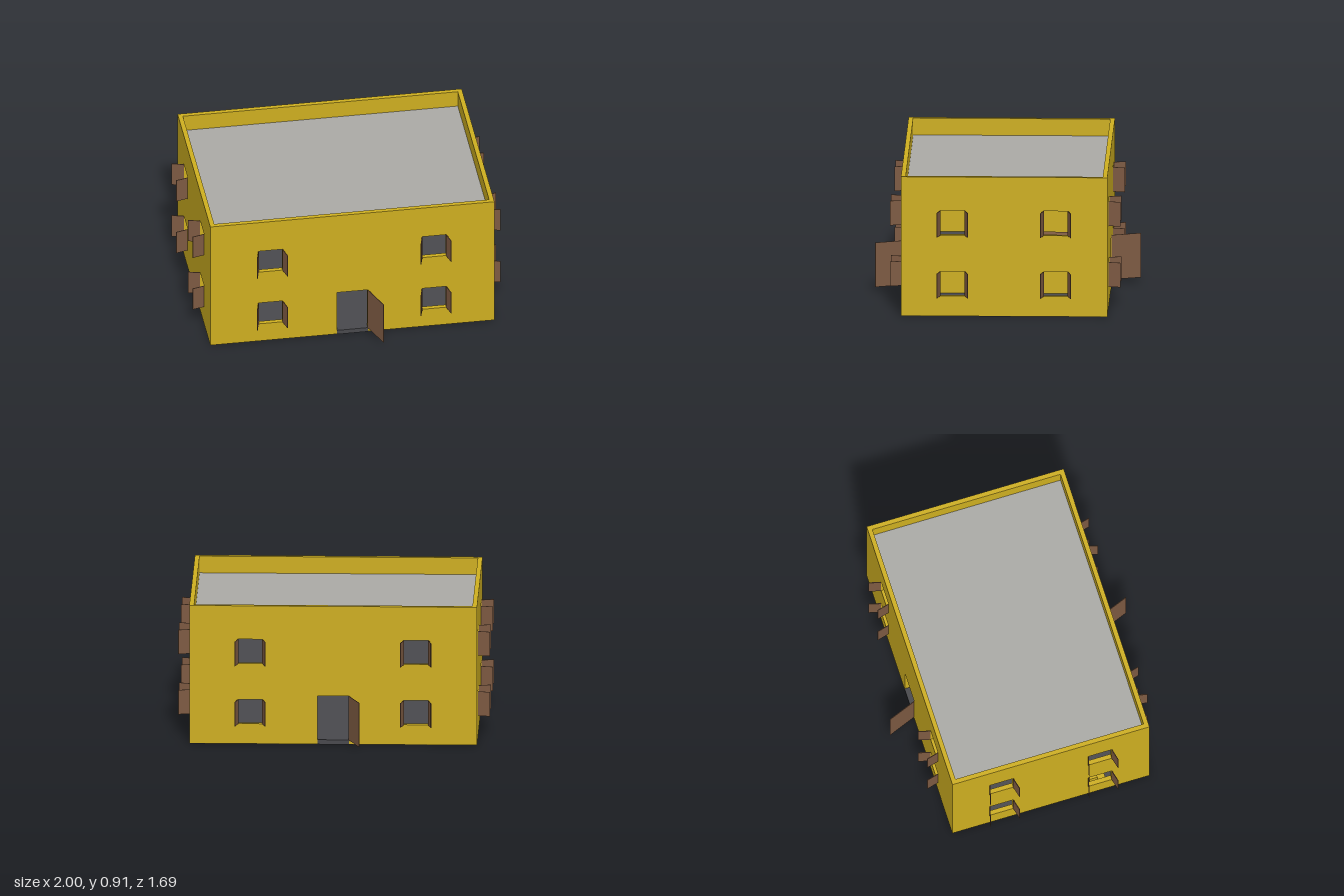
import * as THREE from 'three';

const mat = (name, color) => Object.assign(new THREE.MeshStandardMaterial({ color }), { name });

export function createModel() {
  const yellow = mat('yellow wall', 0xcdae20);
  const brown = mat('brown wood', 0x7d5a42);
  const dark = mat('dark floor', 0x48484c);
  const grey = mat('roof grey', 0xaaa9a5);

  const W = 0.92, D = 0.66, H = 0.91, T = 0.03;
  const model = new THREE.Group();
  model.name = 'house';

  const box = (parent, name, material, x0, x1, y0, y1, z0, z1) => {
    const m = new THREE.Mesh(new THREE.BoxGeometry(x1 - x0, y1 - y0, z1 - z0), material);
    m.position.set((x0 + x1) / 2, (y0 + y1) / 2, (z0 + z1) / 2);
    m.name = name;
    parent.add(m);
    return m;
  };

  const rect = (Type, x0, x1, y0, y1) => {
    const p = new Type();
    p.moveTo(x0, y0);
    p.lineTo(x1, y0);
    p.lineTo(x1, y1);
    p.lineTo(x0, y1);
    p.closePath();
    return p;
  };

  const slab = (name, shape, depth, material) => {
    const m = new THREE.Mesh(
      new THREE.ExtrudeGeometry(shape, { depth, bevelEnabled: false }), material);
    m.name = name;
    return m;
  };

  // Thin leaf swung open from a hinge on the outer wall face (local z = 0)
  const leaf = (parent, name, hingeX, y0, y1, dx, dz) => {
    const pivot = new THREE.Group();
    pivot.name = name;
    pivot.position.x = hingeX;
    pivot.rotation.y = Math.atan2(dx, dz);
    box(pivot, name + 'Panel', brown, -0.002, 0.002, y0, y1, 0, Math.hypot(dx, dz));
    parent.add(pivot);
  };

  // One outer wall with its openings, shutters and optional door
  const side = (name, half, windowX, hasDoor, dist, angle) => {
    const group = new THREE.Group();
    group.name = name;
    const shape = rect(THREE.Shape, -half, half, 0.002, H);
    for (const cx of [-windowX, windowX]) {
      for (const y of [0.133, 0.53]) {
        shape.holes.push(rect(THREE.Path, cx - 0.078, cx + 0.078, y, y + 0.16));
        for (const s of [-1, 1]) leaf(group, 'shutter', cx + s * 0.078, y, y + 0.16, s * 0.02, 0.077);
      }
    }
    if (hasDoor) {
      shape.holes.push(rect(THREE.Path, -0.1, 0.1, 0.03, 0.32));
      leaf(group, 'door', 0.1, 0.03, 0.32, 0.072, 0.184);
      box(group, 'doorSill', dark, -0.1, 0.1, 0.001, 0.031, -T, 0.002);
    }
    const wall = slab(name + 'Surface', shape, T, yellow);
    wall.position.z = -T;
    group.add(wall);
    group.rotation.y = angle;
    group.position.set(Math.sin(angle) * dist, 0, Math.cos(angle) * dist);
    model.add(group);
  };
  side('frontWall', W, 0.53, true, D, 0);
  side('backWall', W, 0.53, true, D, Math.PI);
  side('leftWall', D - T, 0.33, false, W, Math.PI / 2);
  side('rightWall', D - T, 0.33, false, W, -Math.PI / 2);

  // Ground floor and sunken flat roof
  box(model, 'groundFloor', dark, -W + 0.004, W - 0.004, 0, 0.03, -D + 0.004, D - 0.004);
  box(model, 'roof', grey, -W + T, W - T, 0.77, 0.8, -D + T, D - T);

  // Upper floor with a stairwell
  const upper = rect(THREE.Shape, -W + T, W - T, -D + T, D - T);
  upper.holes.push(rect(THREE.Path, -0.87, -0.66, -0.15, 0.4));
  const upperFloor = slab('upperFloor', upper, T, dark);
  upperFloor.rotation.x = -Math.PI / 2;
  upperFloor.position.y = 0.4;
  model.add(upperFloor);

  // Inner walls with a doorway on each storey
  for (const x of [-0.33, 0.33]) {
    for (const [y0, y1] of [[0.03, 0.4], [0.43, 0.77]]) {
      const shape = rect(THREE.Shape, -D + T, D - T, y0, y1);
      shape.holes.push(rect(THREE.Path, -0.09, 0.09, y0 + 0.005, y0 + 0.29));
      const wall = slab('innerWall', shape, 0.02, yellow);
      wall.rotation.y = Math.PI / 2;
      wall.position.x = x - 0.01;
      model.add(wall);
    }
  }

  // Staircase beside the end wall
  const steps = 10;
  for (let i = 0; i < steps; i++) {
    const y = 0.03 + (i + 1) * 0.04, z = 0.38 - i * 0.053;
    box(model, 'stairStep', yellow, -0.87, -0.67, y - 0.04, y, z - 0.053, z);
  }

  // Low upstairs bench
  box(model, 'benchTop', brown, 0.68, 0.86, 0.49, 0.505, -0.45, -0.1);
  for (const x of [0.69, 0.83])
    for (const z of [-0.44, -0.13]) box(model, 'benchLeg', brown, x, x + 0.02, 0.43, 0.49, z, z + 0.02);

  return model;
}
